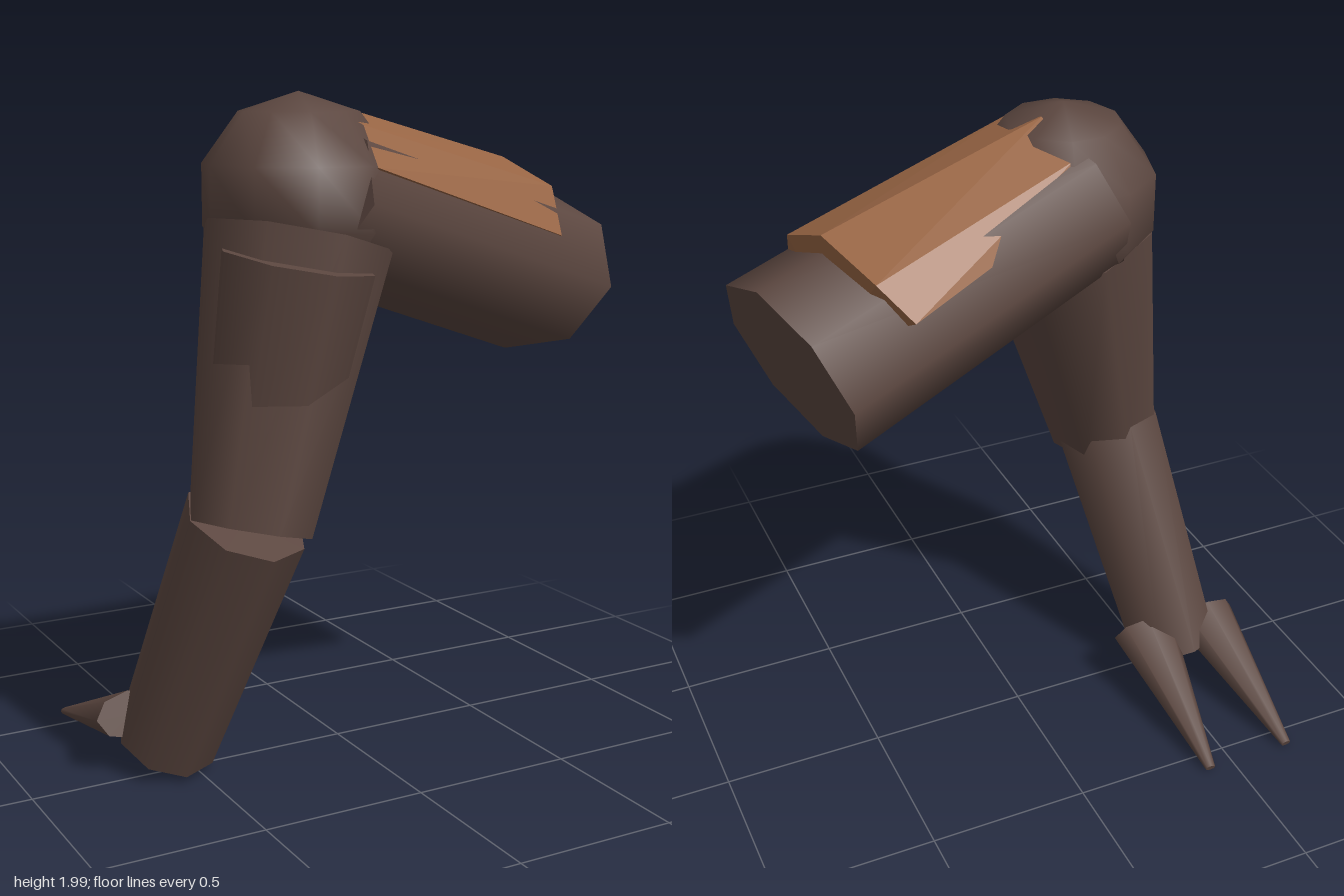
import * as THREE from 'three';

export function createModel() {
  const model = new THREE.Group();
  const material = (name, color) => {
    const m = new THREE.MeshStandardMaterial({ color });
    m.name = name;
    return m;
  };
  const darkHide = material('darkHide', 0x5c4740);
  const copperPlate = material('copperPlate', 0x986544);

  // Eight-sided tapered prism from a to b; 'side' aims its width, 'depth' scales its thickness
  function limb(name, a, b, ra, rb, side, depth = 1, sides = 8) {
    const A = new THREE.Vector3(...a), B = new THREE.Vector3(...b);
    const y = A.clone().sub(B), length = y.length();
    y.normalize();
    const x = new THREE.Vector3(...side);
    x.addScaledVector(y, -x.dot(y)).normalize();
    const z = x.clone().cross(y);
    const mesh = new THREE.Mesh(new THREE.CylinderGeometry(ra, rb, length, sides), darkHide);
    mesh.name = name;
    mesh.quaternion.setFromRotationMatrix(new THREE.Matrix4().makeBasis(x, y, z));
    mesh.position.copy(A).add(B).multiplyScalar(0.5);
    mesh.scale.z = depth;
    model.add(mesh);
  }

  const X = [1, 0, 0], Z = [0, 0, 1];

  // Leg segments
  limb('thigh', [-0.23, 1.725, 0.19], [0.685, 1.44, 0], 0.325, 0.355, Z, 0.72);
  limb('shin', [-0.25, 1.6, 0.22], [-0.445, 0.815, 0.305], 0.275, 0.18, X, 1.04);
  limb('shinGuard', [-0.31, 1.555, 0.33], [-0.365, 1.17, 0.29], 0.22, 0.19, X, 1.06);
  limb('lowerLeg', [-0.445, 0.83, 0.28], [-0.565, 0.09, -0.04], 0.175, 0.15, X, 1.08);

  // Rounded knee
  const knee = new THREE.Mesh(new THREE.SphereGeometry(0.285, 10, 5), darkHide);
  knee.name = 'knee';
  knee.position.set(-0.23, 1.715, 0.195);
  knee.scale.z = 1.06;
  model.add(knee);

  // Two blunt claws
  limb('outerClaw', [-0.67, 0.185, -0.055], [-0.695, 0.02, -0.575], 0.11, 0.017, X, 0.65);
  limb('innerClaw', [-0.445, 0.185, -0.055], [-0.415, 0.02, -0.575], 0.11, 0.017, X, 0.65);

  // Thigh plate: two cross-sections, each ending with a centre point hidden in the thigh
  const near = [[-0.13, 1.80, 0.46], [-0.13, 1.91, 0.38], [-0.15, 1.975, 0.17],
    [-0.17, 1.90, 0.0], [-0.17, 1.80, -0.05], [-0.15, 1.70, 0.17]];
  const far = [[0.575, 1.58, 0.33], [0.6, 1.72, 0.24], [0.565, 1.8, 0.03],
    [0.49, 1.735, -0.19], [0.41, 1.64, -0.265], [0.53, 1.48, 0.03]];
  const points = [];
  const n = near.length;
  for (let i = 0; i < n; i++) {
    const j = (i + 1) % n;
    points.push(near[i], far[i], far[j], near[i], far[j], near[j]);
  }
  for (let i = 0; i < n - 2; i++) points.push(far[n - 1], far[i + 1], far[i]);
  const plateGeometry = new THREE.BufferGeometry();
  plateGeometry.setAttribute('position', new THREE.Float32BufferAttribute(points.flat(), 3));
  plateGeometry.computeVertexNormals();
  copperPlate.side = THREE.DoubleSide;
  const plate = new THREE.Mesh(plateGeometry, copperPlate);
  plate.name = 'thighPlate';
  model.add(plate);

  return model;
}
